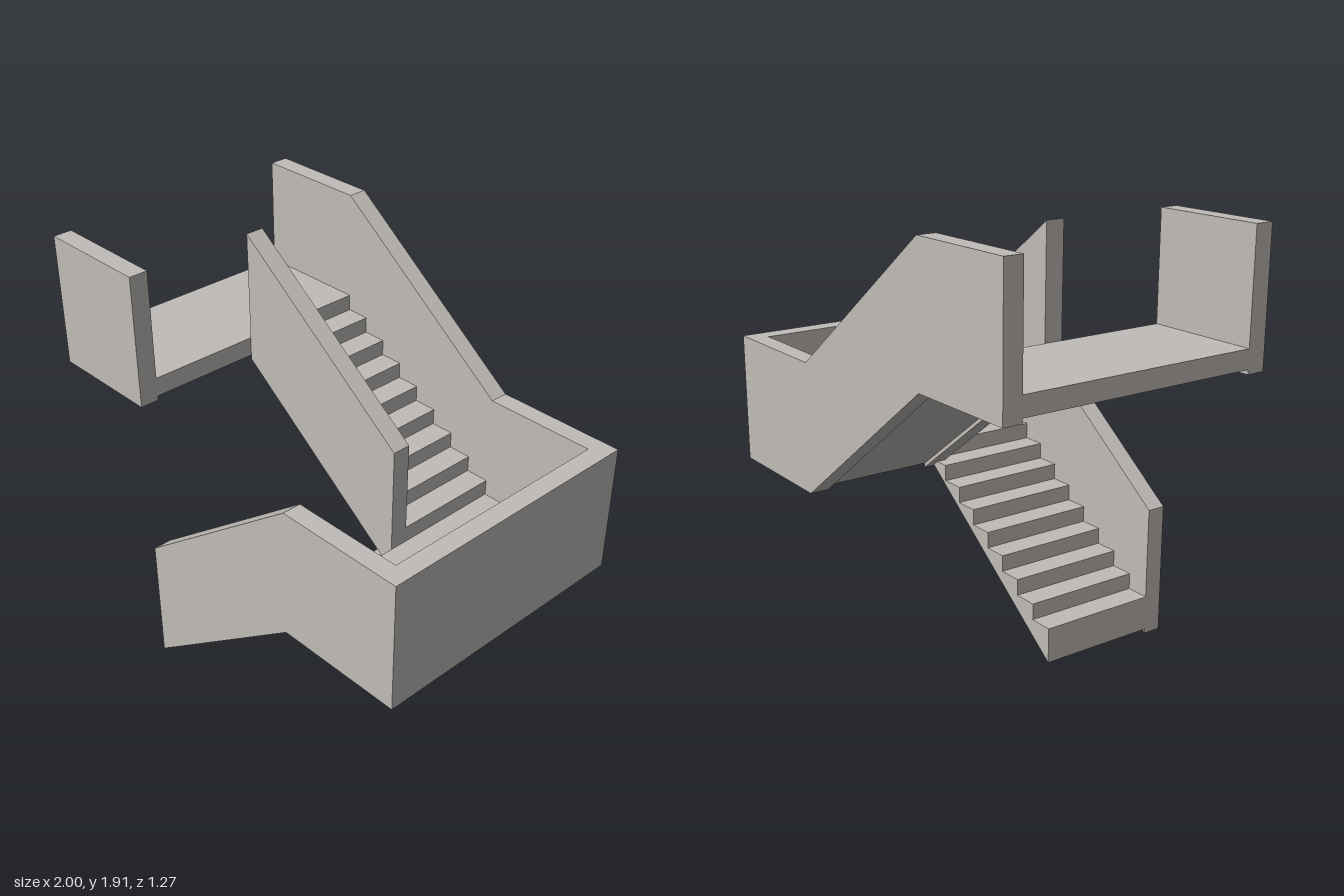
import * as THREE from 'three';

// Main stations along x and levels along y
const X0 = -1, X1 = -0.475, X2 = 0.405, X3 = 1;
const INNER = 0.55, OUTER = 0.635, WALL = 0.085;
const RISE = 0.66;              // height of one flight
const BASE = 0.665;             // underside of the parapet at the middle landing
const PARAPET = 0.59;           // parapet height
const SOFFIT = 0.02;            // slabs sit this far above the parapet underside
const SLAB = 0.085;
const TREADS = 8;

export function createModel() {
  const group = new THREE.Group();
  const concrete = new THREE.MeshStandardMaterial({ color: 0xc0bcb8 });
  concrete.name = 'concrete';

  // Side profile (x, y) extruded between two depths
  const addProfile = (name, points, z0, z1) => {
    const shape = new THREE.Shape(points.map(([x, y]) => new THREE.Vector2(x, y)));
    const geometry = new THREE.ExtrudeGeometry(shape, { depth: z1 - z0, bevelEnabled: false });
    geometry.translate(0, 0, z0);
    const mesh = new THREE.Mesh(geometry, concrete);
    mesh.name = name;
    group.add(mesh);
  };
  const addBox = (name, x0, x1, y0, y1, z0, z1) =>
    addProfile(name, [[x0, y0], [x1, y0], [x1, y1], [x0, y1]], z0, z1);

  // Band of constant height following a line of underside points
  const band = (line) => [
    ...line,
    ...line.map(([x, y]) => [x, y + PARAPET]).reverse(),
  ];

  // Stepped flight with a sloping soffit; dir +1 climbs from X1 to X2, -1 the other way
  const flight = (yLow, dir) => {
    const [low, high] = dir > 0 ? [X1, X2] : [X2, X1];
    const run = (high - low) / TREADS, riser = RISE / (TREADS + 1);
    const floor = yLow + SOFFIT + SLAB;
    const points = [[high, yLow + RISE + SOFFIT], [low, yLow + SOFFIT]];
    for (let i = 0; i < TREADS; i++) {
      const y = floor + riser * (i + 1);
      points.push([low + run * i, y], [low + run * (i + 1), y]);
    }
    return points;
  };

  const lowY = BASE - RISE, topY = BASE + RISE;

  // Parapets
  addProfile('frontParapet', band([[X1, lowY], [X2, BASE], [X3, BASE]]), INNER, OUTER);
  addProfile('backParapet', band([[X0, topY], [X1, topY], [X2, BASE], [X3, BASE]]), -OUTER, -INNER);
  addProfile('middleParapet', band([[X1, topY], [X2, BASE]]), -WALL / 2, WALL / 2);
  addBox('upperLandingParapet', X0, X1, topY, topY + PARAPET, INNER, OUTER);
  addBox('landingEndParapet', X3 - WALL, X3, BASE, BASE + PARAPET, -INNER, INNER);

  // Landings
  addBox('middleLanding', X2, X3 - WALL, BASE + SOFFIT, BASE + SOFFIT + SLAB, -INNER, INNER);
  addBox('upperLanding', X0, X1, topY + SOFFIT, topY + SOFFIT + SLAB, -INNER, INNER);

  // Stair flights
  addProfile('lowerFlight', flight(lowY, 1), 0, INNER);
  addProfile('upperFlight', flight(BASE, -1), -INNER, 0);

  // Stand exactly on the ground
  group.position.y = -lowY;
  return group;
}
